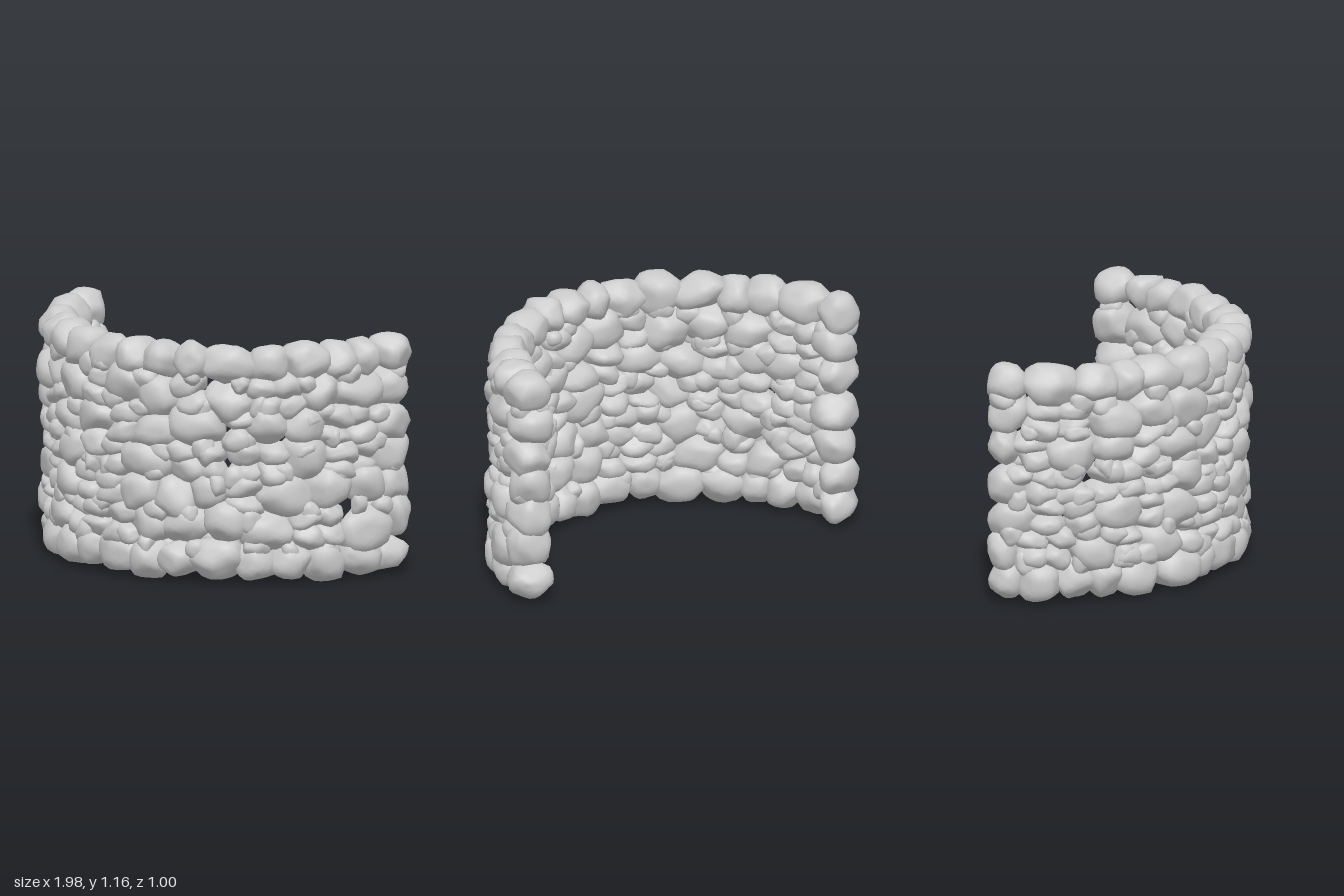
import * as THREE from 'three';
import { mergeGeometries, mergeVertices } from 'three/addons/utils/BufferGeometryUtils.js';

const RADIUS = 0.882, CENTRE_Z = -0.508, HALF_ANGLE = 1.55;
const COURSES = 7, COURSE_HEIGHT = 0.157, FIRST_COURSE = 0.103;
const ROUNDNESS = 3;

// Small seeded generator
let seed = 11;
function rand(a = 0, b = 1) {
  seed = (seed * 1664525 + 1013904223) % 4294967296;
  return a + (b - a) * (seed / 4294967296);
}

// Shared unit ball with welded vertices
function makeBall() {
  const g = new THREE.IcosahedronGeometry(1, 3);
  g.deleteAttribute('normal');
  g.deleteAttribute('uv');
  return mergeVertices(g, 1e-4);
}
const ball = makeBall();

// Rounded block chipped by random planes, set on the arc facing outwards
function makeStone(angle, y, radius, width, height, depth, tilt = 0.3) {
  const g = ball.clone();
  const planes = [];
  for (let i = 0; i < 15; i++) {
    const n = new THREE.Vector3(rand(-1, 1), rand(-1, 1), rand(-1, 1)).normalize();
    planes.push({ n, d: rand(0.83, 1.04) });
  }
  const p = g.attributes.position, v = new THREE.Vector3();
  for (let i = 0; i < p.count; i++) {
    v.fromBufferAttribute(p, i).normalize();
    const sum = Math.abs(v.x) ** ROUNDNESS + Math.abs(v.y) ** ROUNDNESS + Math.abs(v.z) ** ROUNDNESS;
    let r = sum ** (-1 / ROUNDNESS);
    for (const { n, d } of planes) {
      const c = v.dot(n);
      if (c > 0) r = Math.min(r, d / c);
    }
    p.setXYZ(i, v.x * r, v.y * r, v.z * r);
  }
  g.scale(width / 2, height / 2, depth / 2);
  g.rotateX(rand(-0.12, 0.12));
  g.rotateZ(rand(-tilt, tilt));
  g.rotateY(angle + rand(-0.12, 0.12));
  g.translate(radius * Math.sin(angle), y, CENTRE_Z + radius * Math.cos(angle));
  g.computeVertexNormals();
  return g;
}

// Random stone widths that exactly fill one course, as angles
function splitCourse() {
  const widths = [];
  let total = 0;
  while (total < 2 * HALF_ANGLE - 0.1) {
    const w = rand(0.14, 0.26);
    widths.push(w);
    total += w;
  }
  return widths.map((w) => (w * 2 * HALF_ANGLE) / total);
}

export function createModel() {
  seed = 11;
  const model = new THREE.Group();
  model.name = 'curvedStoneWall';
  const material = new THREE.MeshStandardMaterial({ color: 0xcccccc });
  const addMesh = (name, stones) => {
    const mesh = new THREE.Mesh(mergeGeometries(stones), material);
    mesh.name = name;
    model.add(mesh);
  };

  // Courses of overlapping main stones, some narrow ones replaced by a pair
  for (let row = 0; row < COURSES; row++) {
    const stones = [];
    const edge = row === 0 || row === COURSES - 1;
    const y = FIRST_COURSE + row * COURSE_HEIGHT;
    let start = -HALF_ANGLE;
    for (const w of splitCourse()) {
      const angle = start + w / 2;
      const width = w * RADIUS;
      const atEnd = HALF_ANGLE - Math.abs(angle) < 0.16;
      if (!edge && !atEnd && w < 0.18) {
        for (const s of [-1, 1]) {
          stones.push(makeStone(angle + rand(-0.03, 0.03), y + s * 0.045 + rand(-0.01, 0.01),
            RADIUS + rand(-0.01, 0.01), width * 1.25, rand(0.11, 0.14), rand(0.17, 0.2)));
        }
      } else {
        const lift = edge ? rand(-0.01, 0.012) : rand(-0.035, 0.035);
        const height = COURSE_HEIGHT * (edge ? rand(1.1, 1.28) : rand(1.15, 1.4));
        stones.push(makeStone(angle, y + lift, RADIUS + rand(-0.012, 0.012),
          width * (atEnd ? 1.1 : 1.28), height, rand(0.19, 0.225), edge || atEnd ? 0.15 : 0.35));
      }
      start += w;
    }
    addMesh('stoneCourse' + (row + 1), stones);
  }

  // Small stones wedged into the joints on both faces
  for (const [name, r] of [['innerWedgeStones', RADIUS - 0.045], ['outerWedgeStones', RADIUS + 0.045]]) {
    const stones = [];
    for (let row = 1; row < COURSES; row++) {
      for (let i = 0; i < 12; i++) {
        const angle = ((i + rand(0.1, 0.9)) / 6 - 1) * (HALF_ANGLE - 0.06);
        const y = FIRST_COURSE + (row - 0.5) * COURSE_HEIGHT + rand(-0.04, 0.04);
        stones.push(makeStone(angle, y, r, rand(0.08, 0.14), rand(0.08, 0.13), rand(0.08, 0.11)));
      }
    }
    addMesh(name, stones);
  }
  return model;
}
